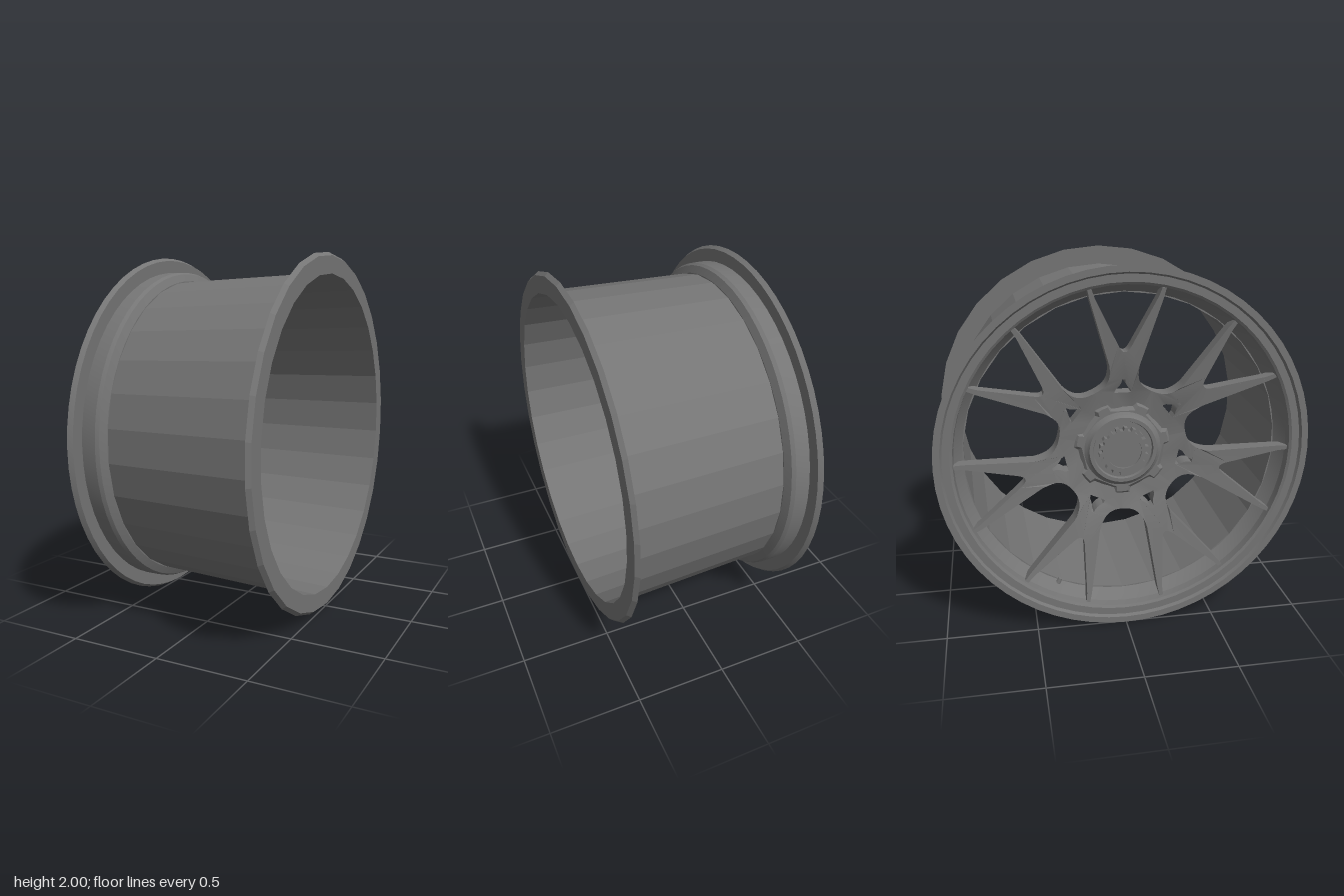
import * as THREE from 'three';
import { toCreasedNormals } from 'three/addons/utils/BufferGeometryUtils.js';

const COUNT = 7;
const STEP = (Math.PI * 2) / COUNT;
const darkGrey = new THREE.MeshStandardMaterial({ color: 0x757575, side: THREE.DoubleSide });

// Revolve [radius, x] points around the x axis
function lathe(points, segments, crease = 0.15) {
  const pts = points.map(([r, x]) => new THREE.Vector2(r, x));
  const g = new THREE.LatheGeometry(pts, segments, Math.PI / 2).rotateZ(-Math.PI / 2);
  return toCreasedNormals(g, crease);
}

// Extrude an outline (drawn in the wheel plane) along x
function extrudeX(shape, x, options) {
  const g = new THREE.ExtrudeGeometry(shape, options);
  return g.rotateY(Math.PI / 2).translate(x, 0, 0);
}

// Piecewise linear lookup in [[input, output], ...]
function ramp(table, t) {
  for (let i = 1; i < table.length; i++) {
    const [a, va] = table[i - 1], [b, vb] = table[i];
    if (t <= b) return THREE.MathUtils.mapLinear(Math.max(t, a), a, b, va, vb);
  }
  return table[table.length - 1][1];
}

// One forked spoke with its share of the centre web
function spokeGeometry() {
  const edge = Math.PI / COUNT;
  const polar = r => [r * Math.sin(edge), r * Math.cos(edge)];
  const s = new THREE.Shape();
  const [ix, iy] = polar(0.15), [ox, oy] = polar(0.355);
  s.moveTo(-ix, iy);
  s.lineTo(ix, iy);
  s.lineTo(ox, oy);
  s.bezierCurveTo(0.09, 0.35, 0.066, 0.39, 0.08, 0.475);
  s.lineTo(0.187, 0.825);
  s.lineTo(0.2, 0.88);
  s.lineTo(0.178, 0.88);
  s.lineTo(0.162, 0.835);
  s.lineTo(0.036, 0.585);
  s.quadraticCurveTo(0, 0.51, -0.036, 0.585);
  s.lineTo(-0.162, 0.835);
  s.lineTo(-0.178, 0.88);
  s.lineTo(-0.2, 0.88);
  s.lineTo(-0.187, 0.825);
  s.lineTo(-0.08, 0.475);
  s.bezierCurveTo(-0.066, 0.39, -0.09, 0.35, -ox, oy);
  s.closePath();

  // Triangular window
  const hole = new THREE.Path();
  hole.moveTo(-0.045, 0.315);
  hole.lineTo(-0.04, 0.335);
  hole.quadraticCurveTo(-0.01, 0.36, -0.008, 0.395);
  hole.lineTo(0.008, 0.395);
  hole.quadraticCurveTo(0.01, 0.36, 0.04, 0.335);
  hole.lineTo(0.045, 0.315);
  hole.closePath();
  s.holes.push(hole);

  // Dish the outer face and thin the spoke towards the rim
  const front = [[0.15, -0.335], [0.3, -0.35], [0.45, -0.405], [0.92, -0.47]];
  const back = [[0.15, -0.26], [0.36, -0.28], [0.55, -0.34], [0.92, -0.405]];
  const g = new THREE.ExtrudeGeometry(s, { depth: 1, bevelEnabled: false, curveSegments: 8 });
  const p = g.attributes.position;
  for (let i = 0; i < p.count; i++) {
    const r = Math.hypot(p.getX(i), p.getY(i));
    p.setZ(i, ramp(p.getZ(i) < 0.5 ? front : back, r));
  }
  return toCreasedNormals(g.rotateY(Math.PI / 2), 0.5);
}

// Scalloped outline of the hub, notched at each spoke
function crownShape() {
  const pts = [];
  for (let k = 0; k < COUNT; k++) {
    const mid = Math.PI / 2 + k * STEP;
    for (const [r, a] of [[0.272, -0.14], [0.272, 0.14], [0.305, 0.19], [0.308, 0.32], [0.308, 0.45], [0.308, 0.58], [0.305, STEP - 0.19]])
      pts.push(new THREE.Vector2(r * Math.cos(mid + a), r * Math.sin(mid + a)));
  }
  return new THREE.Shape(pts);
}

// Toothed ring outline with a round opening
function gearShape(teeth, outer, inner, bore) {
  const pts = [];
  for (let i = 0; i < teeth; i++) {
    for (const [r, f] of [[inner, 0], [inner, 0.4], [outer, 0.5], [outer, 0.9]]) {
      const a = ((i + f) / teeth) * Math.PI * 2;
      pts.push(new THREE.Vector2(r * Math.cos(a), r * Math.sin(a)));
    }
  }
  const s = new THREE.Shape(pts);
  s.holes.push(new THREE.Path().absarc(0, 0, bore, 0, Math.PI * 2, true));
  return s;
}

export function createModel() {
  const wheel = new THREE.Group();
  wheel.name = 'wheelRim';
  wheel.position.y = 1;
  const add = (name, geometry, parent = wheel) => {
    const m = new THREE.Mesh(geometry, darkGrey);
    m.name = name;
    parent.add(m);
    return m;
  };

  // Faceted barrel with the inboard flange
  add('barrel', lathe([
    [0.85, -0.37], [0.862, -0.37], [0.892, 0.485], [1.0, 0.485], [0.982, 0.508],
    [0.885, 0.508], [0.85, -0.37],
  ], 30));

  // Stepped outboard lip
  add('outerLip', lathe([
    [0.85, -0.365], [0.865, -0.365], [0.905, -0.385], [0.915, -0.405], [0.915, -0.485],
    [0.985, -0.485], [1.0, -0.51], [0.965, -0.51], [0.955, -0.494], [0.915, -0.494],
    [0.902, -0.485], [0.898, -0.44], [0.875, -0.40], [0.85, -0.365],
  ], 60, 0.3));

  // Spokes
  const spokes = new THREE.Group();
  spokes.name = 'spokes';
  wheel.add(spokes);
  const spoke = spokeGeometry();
  for (let k = 0; k < COUNT; k++) add('spoke', spoke, spokes).rotation.x = k * STEP;

  // Hub: scalloped cone with a stepped collar on each end
  add('hubCrown', extrudeX(crownShape(), -0.315, {
    depth: 0.055, bevelThickness: 0.05, bevelSize: 0.055, bevelOffset: -0.055, bevelSegments: 1,
  }));
  add('hubFace', lathe([
    [0, -0.375], [0.16, -0.375], [0.165, -0.39], [0.185, -0.39], [0.195, -0.375], [0.225, -0.355],
  ], 48, 0.4));
  add('hubCollar', lathe([
    [0.225, -0.215], [0.195, -0.205], [0.185, -0.195], [0.172, -0.195], [0.165, -0.21], [0, -0.21],
  ], 48, 0.4));

  // Toothed centre nut showing on both ends of the hub
  add('centreNut', extrudeX(gearShape(18, 0.135, 0.118, 0.095), -0.415, {
    depth: 0.22, bevelEnabled: false, curveSegments: 24,
  }));
  add('centreCap', lathe([[0, -0.405], [0.095, -0.405], [0.095, -0.202], [0, -0.202]], 36, 0.4));

  // Valve stem, pointing in from the rim
  const valve = new THREE.Group();
  valve.name = 'valveStem';
  valve.rotation.x = -(Math.PI - Math.atan2(0.36, 0.76));
  wheel.add(valve);
  const stem = new THREE.CylinderGeometry(0.016, 0.012, 0.05, 10);
  add('stem', stem, valve).position.set(-0.38, 0.862, 0);

  return wheel;
}
